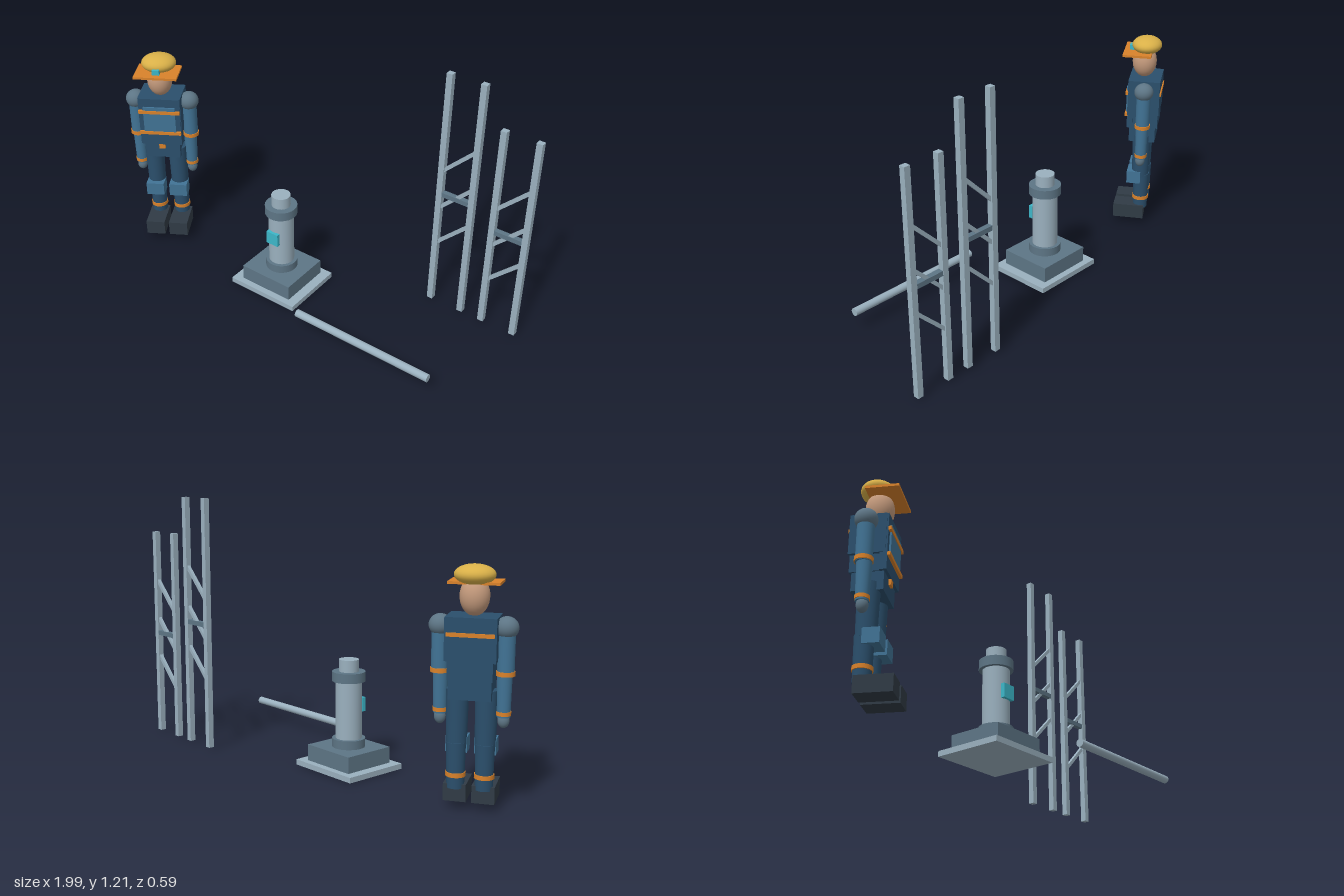
import * as THREE from 'three';

const mat = (name, color) => new THREE.MeshStandardMaterial({ name, color });

export function createModel() {
  const M = {
    navy: mat('navy cloth', 0x2b4f6c),
    blue: mat('light blue cloth', 0x417395),
    orange: mat('orange trim', 0xd9822b),
    yellow: mat('helmet yellow', 0xd9b048),
    skin: mat('skin', 0xc49a7c),
    boot: mat('boot black', 0x303b45),
    steel: mat('light steel', 0x9ab0be),
    dark: mat('dark steel', 0x5d7585),
    teal: mat('teal glass', 0x3cb6c8),
  };
  const root = new THREE.Group();

  const add = (parent, name, geo, m, x, y, z) => {
    const mesh = new THREE.Mesh(geo, m);
    mesh.name = name;
    mesh.position.set(x, y, z);
    parent.add(mesh);
    return mesh;
  };
  // Box given by its bottom and top heights
  const box = (p, name, m, w, y0, y1, d, x, z) =>
    add(p, name, new THREE.BoxGeometry(w, y1 - y0, d), m, x, (y0 + y1) / 2, z);
  // Upright cylinder given by its bottom and top heights
  const cyl = (p, name, m, rTop, rBot, y0, y1, x, z) =>
    add(p, name, new THREE.CylinderGeometry(rTop, rBot, y1 - y0, 28), m, x, (y0 + y1) / 2, z);
  const ball = (p, name, m, rx, ry, rz, x, y, z) =>
    add(p, name, new THREE.SphereGeometry(1, 28, 18), m, x, y, z).scale.set(rx, ry, rz);
  const group = (name, x, y, z) => {
    const g = new THREE.Group();
    g.name = name;
    g.position.set(x, y, z);
    root.add(g);
    return g;
  };

  // Standing figure, turned a little towards +x
  const w = group('figure', -0.84, 0, 0.021);
  w.rotation.y = 0.55;
  box(w, 'chest', M.navy, 0.205, 0.62, 0.795, 0.15, 0, 0);
  box(w, 'waist', M.navy, 0.18, 0.545, 0.62, 0.14, 0, 0);
  box(w, 'vestFront', M.navy, 0.2, 0.545, 0.795, 0.03, 0, 0.067);
  box(w, 'chestPanel', M.blue, 0.155, 0.622, 0.752, 0.01, 0, 0.085);
  for (const y of [0.614, 0.727])
    box(w, 'frontBand', M.orange, 0.2, y - 0.008, y + 0.008, 0.014, 0, 0.087);
  box(w, 'backBand', M.orange, 0.19, 0.719, 0.735, 0.01, 0, -0.076);
  box(w, 'pelvis', M.navy, 0.17, 0.465, 0.545, 0.13, 0, 0.005);
  box(w, 'buckle', M.orange, 0.03, 0.52, 0.546, 0.012, 0, 0.075);

  // Head and helmet
  ball(w, 'head', M.skin, 0.06, 0.08, 0.06, 0, 0.87, 0.015);
  ball(w, 'helmetDome', M.yellow, 0.083, 0.042, 0.073, 0, 0.955, 0.006);
  box(w, 'helmetBrim', M.orange, 0.207, 0.917, 0.928, 0.14, 0, 0.046);
  box(w, 'helmetLamp', M.teal, 0.034, 0.927, 0.953, 0.022, 0, 0.079);

  // Arms and legs, mirrored
  for (const s of [-1, 1]) {
    const side = s > 0 ? 'left' : 'right';
    const ax = s * 0.131;
    ball(w, side + 'Shoulder', M.dark, 0.047, 0.045, 0.047, ax, 0.752, 0);
    cyl(w, side + 'UpperArm', M.blue, 0.035, 0.034, 0.56, 0.74, ax, 0);
    cyl(w, side + 'ElbowBand', M.orange, 0.038, 0.038, 0.562, 0.58, ax, 0);
    cyl(w, side + 'Forearm', M.blue, 0.031, 0.027, 0.395, 0.565, ax * 0.97, 0.002);
    cyl(w, side + 'WristBand', M.orange, 0.03, 0.03, 0.402, 0.418, ax * 0.97, 0.002);
    ball(w, side + 'Hand', M.dark, 0.024, 0.031, 0.024, ax * 0.97, 0.38, 0.004);

    const lx = s * 0.058;
    cyl(w, side + 'Thigh', M.navy, 0.046, 0.042, 0.27, 0.5, lx, 0.006);
    cyl(w, side + 'Shin', M.navy, 0.04, 0.036, 0.09, 0.28, lx, 0);
    box(w, side + 'KneePad', M.blue, 0.088, 0.235, 0.3, 0.07, lx, 0.036);
    cyl(w, side + 'AnkleBand', M.orange, 0.041, 0.041, 0.138, 0.156, lx, 0);
    box(w, side + 'Boot', M.boot, 0.093, 0.035, 0.107, 0.155, lx, 0.056);
  }

  // Pump column on a stepped base
  const p = group('pump', -0.103, 0, 0.036);
  box(p, 'basePlate', M.steel, 0.367, 0, 0.025, 0.318, 0, 0);
  box(p, 'baseBlock', M.dark, 0.275, 0.025, 0.1, 0.255, 0, 0);
  cyl(p, 'lowerCollar', M.dark, 0.076, 0.076, 0.1, 0.14, 0, 0);
  cyl(p, 'column', M.steel, 0.06, 0.06, 0.14, 0.405, 0, 0);
  cyl(p, 'upperCollar', M.dark, 0.076, 0.076, 0.405, 0.449, 0, 0);
  cyl(p, 'topCap', M.steel, 0.045, 0.045, 0.449, 0.504, 0, 0);
  box(p, 'gauge', M.teal, 0.064, 0.257, 0.322, 0.018, 0, 0.064);

  // Loose pipe lying in front
  const pipe = add(root, 'pipe', new THREE.CylinderGeometry(0.018, 0.018, 0.692, 24), M.steel, 0.516, 0.095, 0.276);
  pipe.rotation.z = Math.PI / 2;

  // Two braced frames at the back
  for (const [x, h, step] of [[0.63, 1.2, 0.195], [0.9, 1.02, 0.192]]) {
    const f = group('bracedFrame', x, 0.01, -0.28);
    for (const s of [-1, 1]) box(f, 'post', M.steel, 0.028, 0, h, 0.027, s * 0.08, 0);
    box(f, 'crossbar', M.dark, 0.168, h / 2 - 0.011, h / 2 + 0.011, 0.025, 0, 0);
    for (const k of [-1, 0, 1]) {
      const b = add(f, 'diagonalBrace', new THREE.BoxGeometry(0.222, 0.016, 0.016), M.steel, 0, h / 2 + k * step, 0);
      b.rotation.z = Math.PI / 4;
    }
  }
  return root;
}
